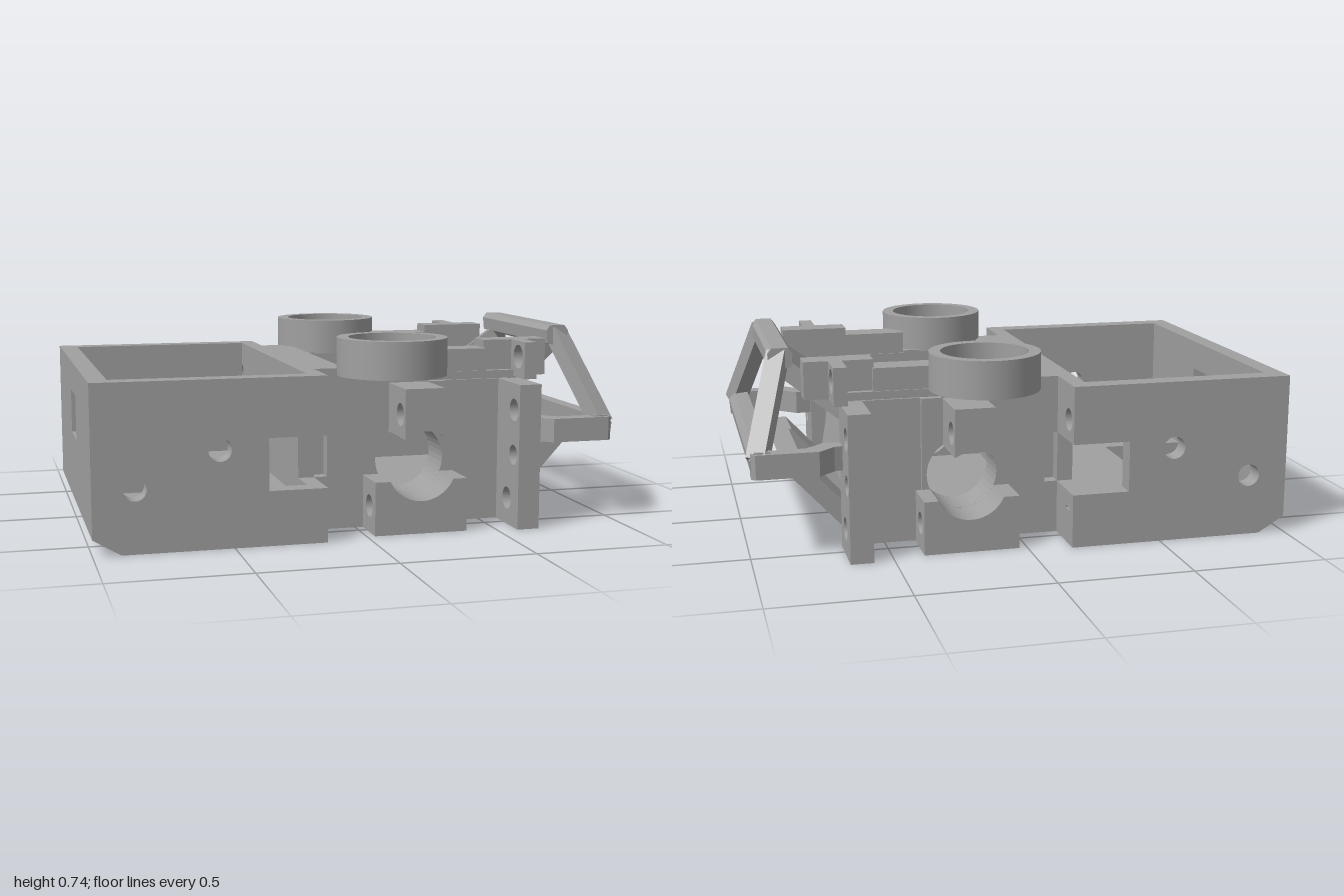
import * as THREE from 'three';

export function createModel() {
  const model = new THREE.Group();
  model.name = 'chassis';
  const grey = new THREE.MeshStandardMaterial({ color: 0xa0a0a0 });
  grey.name = 'plain grey';

  const add = (name, geo) => {
    const m = new THREE.Mesh(geo, grey);
    m.name = name;
    model.add(m);
    return m;
  };
  // Box from its limits; s = -1 mirrors the z range
  const box = (name, x0, x1, y0, y1, z0, z1, s = 1) => {
    const g = new THREE.BoxGeometry(x1 - x0, y1 - y0, z1 - z0);
    g.translate((x0 + x1) / 2, (y0 + y1) / 2, s * (z0 + z1) / 2);
    return add(name, g);
  };
  const poly = pts => new THREE.Shape(pts.map(p => new THREE.Vector2(p[0], p[1])));
  const rect = (a, b, c, d) => [[a, c], [b, c], [b, d], [a, d]];
  const circle = (x, y, r) => {
    const p = new THREE.Path();
    p.absarc(x, y, r, 0, Math.PI * 2, true);
    return p;
  };
  const withHoles = (shape, ...holes) => { shape.holes.push(...holes); return shape; };
  const extrude = (shape, depth) =>
    new THREE.ExtrudeGeometry(shape, { depth, bevelEnabled: false, curveSegments: 20 });
  // Profile in x,y pushed along z
  const alongZ = (name, shape, z0, z1, s = 1) =>
    add(name, extrude(shape, z1 - z0).translate(0, 0, s > 0 ? z0 : -z1));
  // Profile in -z,y pushed along x
  const alongX = (name, shape, x0, x1) =>
    add(name, extrude(shape, x1 - x0).rotateY(Math.PI / 2).translate(x0, 0, 0));
  // Profile in x,-z pushed along y
  const alongY = (name, shape, y0, y1) =>
    add(name, extrude(shape, y1 - y0).rotateX(-Math.PI / 2).translate(0, y0, 0));
  // Block with one bore along x
  const bored = (name, x0, x1, y0, y1, z0, z1, s, ...bores) => {
    const u = [-s * z0, -s * z1].sort((a, b) => a - b);
    alongX(name, withHoles(poly(rect(u[0], u[1], y0, y1)),
      ...bores.map(([z, y, r]) => circle(-s * z, y, r))), x0, x1);
  };
  // Square beam between two points
  const beam = (name, a, b, w, h) => {
    const p = new THREE.Vector3(...a), q = new THREE.Vector3(...b);
    const m = add(name, new THREE.BoxGeometry(w, h, p.distanceTo(q)));
    m.position.copy(p).add(q).multiplyScalar(0.5);
    m.lookAt(q);
  };

  // Rear box: floor with a large opening and screw holes
  const floorTop = 0.13, W = 0.655;
  alongY('boxFloor', withHoles(
    poly([[-0.9, -W], [-0.16, -W], [-0.16, W], [-0.9, W], [-0.9, 0.4], [-0.59, 0.4], [-0.59, -0.24], [-0.9, -0.24]]),
    circle(-0.76, 0.45, 0.03), circle(-0.76, -0.29, 0.03), circle(-0.31, 0, 0.03)), 0, floorTop);
  const sill = [[-1, 0.06], [-0.9, 0], [-0.9, floorTop], [-1, floorTop]];
  alongZ('boxSill', poly(sill), -W, -0.4);
  alongZ('boxSill', poly(sill), 0.24, W);
  alongZ('boxSill', poly([[-1, 0.06], [-0.93, 0.018], [-0.93, floorTop], [-1, floorTop]]), -0.4, 0.24);
  // Rear wall with window
  alongX('boxRearWall', withHoles(poly(rect(-W, W, floorTop, 0.605)),
    poly(rect(-0.1, 0.1, 0.32, 0.49))), -1, -0.93);
  // Dividing wall: side notches, four bores, window
  const half = [[W, 0], [W, 0.2], [0.45, 0.2], [0.45, 0.39], [W, 0.39], [W, 0.605]];
  const divider = poly([...half, ...half.slice().reverse().map(([u, v]) => [-u, v])]);
  divider.holes.push(poly(rect(-0.1, 0.1, 0.32, 0.49)));
  for (const s of [1, -1]) for (const y of [0.1, 0.47]) divider.holes.push(circle(s * 0.59, y, 0.042));
  alongX('dividingWall', divider, -0.22, -0.16);

  // Body between box and nose
  box('bodyFloor', -0.16, 0.6, 0, 0.122, -0.3, 0.3);
  box('bodyBulkhead', -0.11, -0.04, 0.1, 0.605, -0.3, 0.3);
  box('bodyBulkheadTop', -0.16, -0.11, 0.5, 0.605, -0.3, 0.3);
  alongZ('frontWall', poly([[0.55, 0.1], [0.635, 0.1], [0.635, 0.2], [0.575, 0.55], [0.55, 0.55]]), -0.3, 0.3);

  // Sloping nose plate with a vertical opening
  const low = x => 1.09 * (x - 0.585);
  const top = x => Math.min(0.3, low(x) + 0.1);
  const slope = (x0, x1) => poly([[x0, low(x0)], [x1, low(x1)],
    ...(x1 > 0.77 ? [[x1, 0.301], [Math.max(x0, 0.768), 0.3]] : [[x1, top(x1)]]),
    ...(x0 < 0.76 ? [[x0, top(x0)]] : [])]);
  alongZ('noseSlopeLower', slope(0.585, 0.635), -0.205, 0.205);
  alongZ('noseSlopeUpper', slope(0.78, 0.86), -0.205, 0.205);

  const bore = { x: 0.21, y: 0.255, r: 0.133 };
  for (const s of [1, -1]) {
    // Box side wall with slot and two holes
    alongZ('boxSideWall', withHoles(
      poly([[-0.93, floorTop], [-0.22, floorTop], [-0.22, 0.2], [-0.375, 0.2], [-0.375, 0.39],
        [-0.22, 0.39], [-0.22, 0.605], [-0.93, 0.605]]),
      circle(-0.85, 0.23, 0.042), circle(-0.55, 0.355, 0.042)), 0.58, W, s);

    // Body side wall, pierced by the axle bore
    const wall = (x0, notch) => withHoles(poly([[x0, 0], [0.285, 0], [0.36, 0], [0.6, 0], [0.6, 0.545], [0.285, 0.545],
      [0.285, 0.585], [-0.04, 0.585], [-0.04, 0.605], [x0, 0.605],
      ...(notch ? [[x0, 0.39], [-0.11, 0.39], [-0.11, 0.2], [x0, 0.2]] : [])]),
      circle(bore.x, bore.y, bore.r));
    alongZ('bodySideWall', wall(-0.16, false), 0.3, 0.4, s);
    alongZ('bodySideWall', wall(-0.16, true), 0.4, 0.43, s);
    alongZ('bodySideSkin', withHoles(poly([[-0.16, 0], [0.36, 0], [0.36, 0.545], [0.285, 0.545], [0.285, 0.585],
      [-0.04, 0.585], [-0.04, 0.605], [-0.16, 0.605], [-0.16, 0.39], [-0.11, 0.39], [-0.11, 0.2], [-0.16, 0.2]]),
      circle(bore.x, bore.y, bore.r)), 0.43, 0.45, s);
    alongZ('noseSlopeSide', slope(0.585, 0.86), 0.205, 0.43, s);

    // Lower axle saddle
    const a = Math.acos(0.055 / bore.r);
    const saddle = poly([[0.085, 0], [0.335, 0], [0.335, 0.2]]);
    saddle.absarc(bore.x, bore.y, bore.r, -Math.PI / 2 + a, -Math.PI / 2 - a, true);
    saddle.lineTo(0.085, 0.2);
    alongZ('axleSaddle', saddle, 0.45, 0.61, s);
    bored('axleSaddleEnd', 0.03, 0.085, 0, 0.2, 0.45, 0.61, s, [0.535, 0.1, 0.042]);
    bored('axleSaddleEnd', 0.335, 0.385, 0, 0.2, 0.45, 0.61, s, [0.535, 0.1, 0.042]);
    // Upper axle lug
    bored('axleLug', 0.13, 0.28, 0.388, 0.545, 0.45, 0.65, s, [0.59, 0.445, 0.042]);
    const lug = poly([[0.28, 0.388], [0.13, 0.388], [0.13, 0.361]]);
    lug.absarc(bore.x, bore.y, bore.r, 2.22, 1.01, true);
    alongZ('axleLugUnderside', lug, 0.45, 0.65, s);

    // Round cup
    const cup = [[0, 0.58], [0.205, 0.58], [0.205, 0.72], [0.162, 0.72], [0.162, 0.625], [0, 0.625]];
    for (let i = 0; i < cup.length - 1; i++) {
      const g = new THREE.LatheGeometry([cup[i], cup[i + 1]].map(p => new THREE.Vector2(...p)), 48);
      add('roundCup', g.translate(0.13, 0, s * 0.482));
    }

    // Front mounting plate with three bores
    bored('mountPlate', 0.575, 0.66, 0, 0.545, 0.43, 0.645, s,
      [0.59, 0.445, 0.042], [0.59, 0.275, 0.038], [0.535, 0.1, 0.042]);

    // Top bracket arms
    box('bracketBase', 0.285, 0.64, 0.545, 0.575, 0.3, 0.42, s);
    box('bracketRear', 0.285, 0.53, 0.575, 0.66, 0.305, 0.415, s);
    box('bracketArm', 0.525, 0.78, 0.55, 0.69, 0.3, 0.395, s);
    bored('bracketEar', 0.64, 0.69, 0.55, 0.69, 0.395, 0.528, s, [0.465, 0.63, 0.045]);

    // Bumper side arm, struts and braces
    alongY('bumperSideArm', poly([[0.65, 0.45], [0.72, 0.44], [0.79, 0.505], [0.93, 0.505], [0.99, 0.5],
      [0.99, 0.55], [0.975, 0.565], [0.75, 0.565], [0.69, 0.51], [0.65, 0.5]]
      .map(([x, z]) => [x, -s * z])), 0.31, 0.4);
    beam('bumperStrut', [0.86, 0.71, s * 0.305], [0.965, 0.37, s * 0.525], 0.07, 0.06);
    beam('bumperBrace', [0.84, 0.65, s * 0.275], [0.62, 0.48, s * 0.33], 0.045, 0.06);
  }

  // Bumper cross bars with chamfered edges
  alongZ('bumperLowerBar', poly([[0.92, 0.31], [0.975, 0.31], [0.99, 0.33], [0.995, 0.375],
    [0.975, 0.405], [0.92, 0.405]]), -0.55, 0.55);
  alongZ('bumperUpperBar', poly([[0.815, 0.665], [0.88, 0.645], [0.9, 0.665], [0.9, 0.715],
    [0.885, 0.735], [0.825, 0.735], [0.81, 0.715]]), -0.34, 0.34);
  return model;
}
